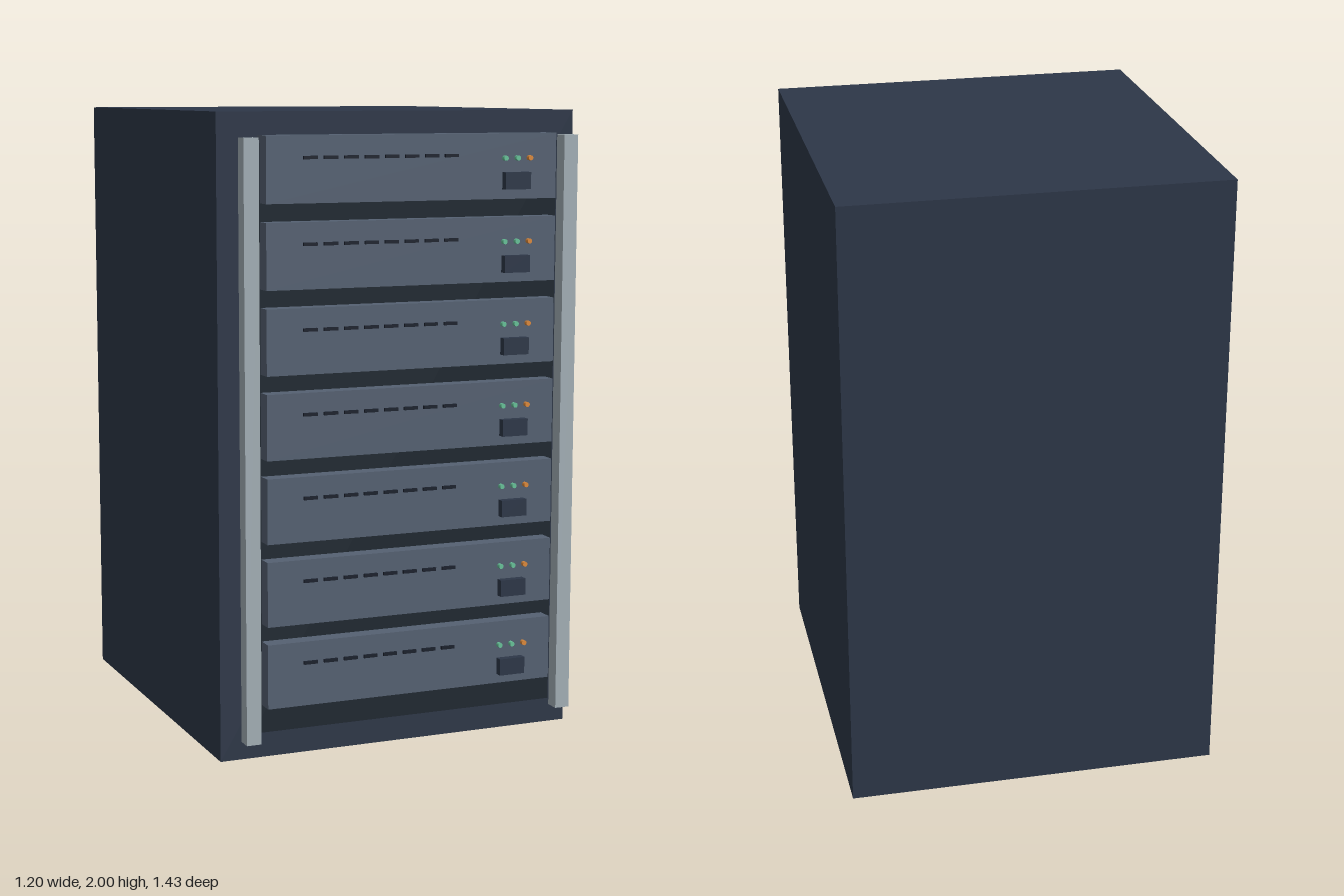
import * as THREE from 'three';

const mat = (color) => new THREE.MeshStandardMaterial({ color });

const M = {
  cabinet: mat(0x2d3748),
  recess: mat(0x1e2730),
  server: mat(0x556172),
  rail: mat(0xa3afb6),
  slot: mat(0x1a202c),
  green: mat(0x68c39a),
  amber: mat(0xdd8a3c),
};

// Box given by its min and max on each axis
function box(name, material, [x0, x1], [y0, y1], [z0, z1]) {
  const mesh = new THREE.Mesh(new THREE.BoxGeometry(x1 - x0, y1 - y0, z1 - z0), material);
  mesh.position.set((x0 + x1) / 2, (y0 + y1) / 2, (z0 + z1) / 2);
  mesh.name = name;
  return mesh;
}

// One server unit, centred on y = 0
function createServer() {
  const unit = new THREE.Group();
  unit.name = 'serverUnit';
  unit.add(box('serverBody', M.server, [-0.483, 0.483], [-0.101, 0.101], [0.615, 0.69]));

  // Row of ventilation slots
  for (let i = 0; i < 8; i++) {
    const x = -0.366 + i * 0.0665;
    unit.add(box('ventSlot', M.slot, [x, x + 0.045], [0.03, 0.04], [0.688, 0.698]));
  }

  // Status lights
  const ledGeometry = new THREE.CylinderGeometry(0.008, 0.008, 0.016, 10).rotateX(Math.PI / 2);
  [M.green, M.green, M.amber].forEach((material, i) => {
    const led = new THREE.Mesh(ledGeometry, material);
    led.name = 'statusLight';
    led.position.set(0.303 + i * 0.0425, 0.025, 0.697);
    unit.add(led);
  });

  // Raised drive latch
  unit.add(box('driveLatch', M.cabinet, [0.297, 0.384], [-0.071, -0.018], [0.689, 0.715]));
  return unit;
}

export function createModel() {
  const model = new THREE.Group();
  model.name = 'serverRack';

  // Cabinet and dark front panel behind the servers
  model.add(box('cabinet', M.cabinet, [-0.6, 0.6], [0, 2], [-0.715, 0.58]));
  model.add(box('frontPanel', M.recess, [-0.512, 0.512], [0.097, 1.907], [0.575, 0.637]));

  // Stack of seven servers
  for (let i = 0; i < 7; i++) {
    const server = createServer();
    server.position.y = 0.286 + i * 0.2573;
    model.add(server);
  }

  // Vertical mounting rails
  for (const side of [-1, 1]) {
    const rail = box('mountingRail', M.rail, [-0.024, 0.024], [0.08, 1.925], [0.65, 0.698]);
    rail.position.x = side * 0.532;
    model.add(rail);
  }
  return model;
}
